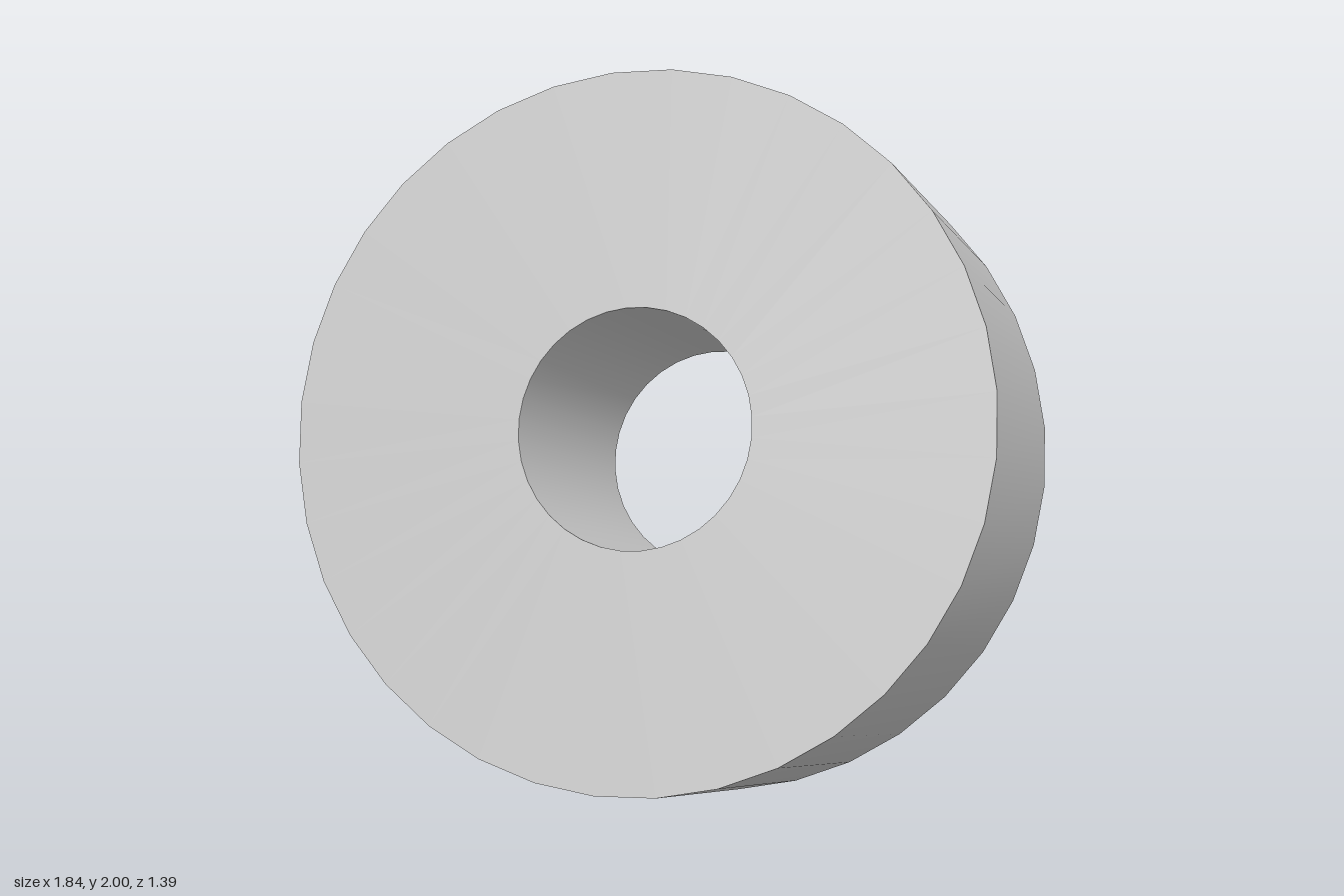
import * as THREE from 'three';
import { toCreasedNormals } from 'three/addons/utils/BufferGeometryUtils.js';

export function createModel() {
  const grey = new THREE.MeshStandardMaterial({ color: 0xc6c6c6 });
  grey.name = 'light grey';

  const R = 0.92;        // outer radius
  const bore = 0.308;    // hole radius
  const depth = 0.822;   // full thickness
  const c = 0.037;       // chamfer on the back rims

  // Closed ring section; the front face is at local y = 0, the back at -depth
  const profile = [
    [bore, 0],
    [bore, -depth + c],
    [bore + c, -depth],
    [R - c, -depth],
    [R, -depth + c],
    [R, 0],
    [bore, 0],
  ].map(([x, y]) => new THREE.Vector2(x, y));

  // Smooth round walls, sharp edges at rims and chamfers
  const geometry = toCreasedNormals(new THREE.LatheGeometry(profile, 36), Math.PI / 6);
  const ring = new THREE.Mesh(geometry, grey);
  ring.name = 'chamferedRing';

  // Lean the ring back by 20 degrees
  ring.rotation.x = THREE.MathUtils.degToRad(70);
  ring.position.set(0, 1.135, 0.379);

  const group = new THREE.Group();
  group.name = 'tiltedSpacerRing';
  group.add(ring);
  return group;
}
